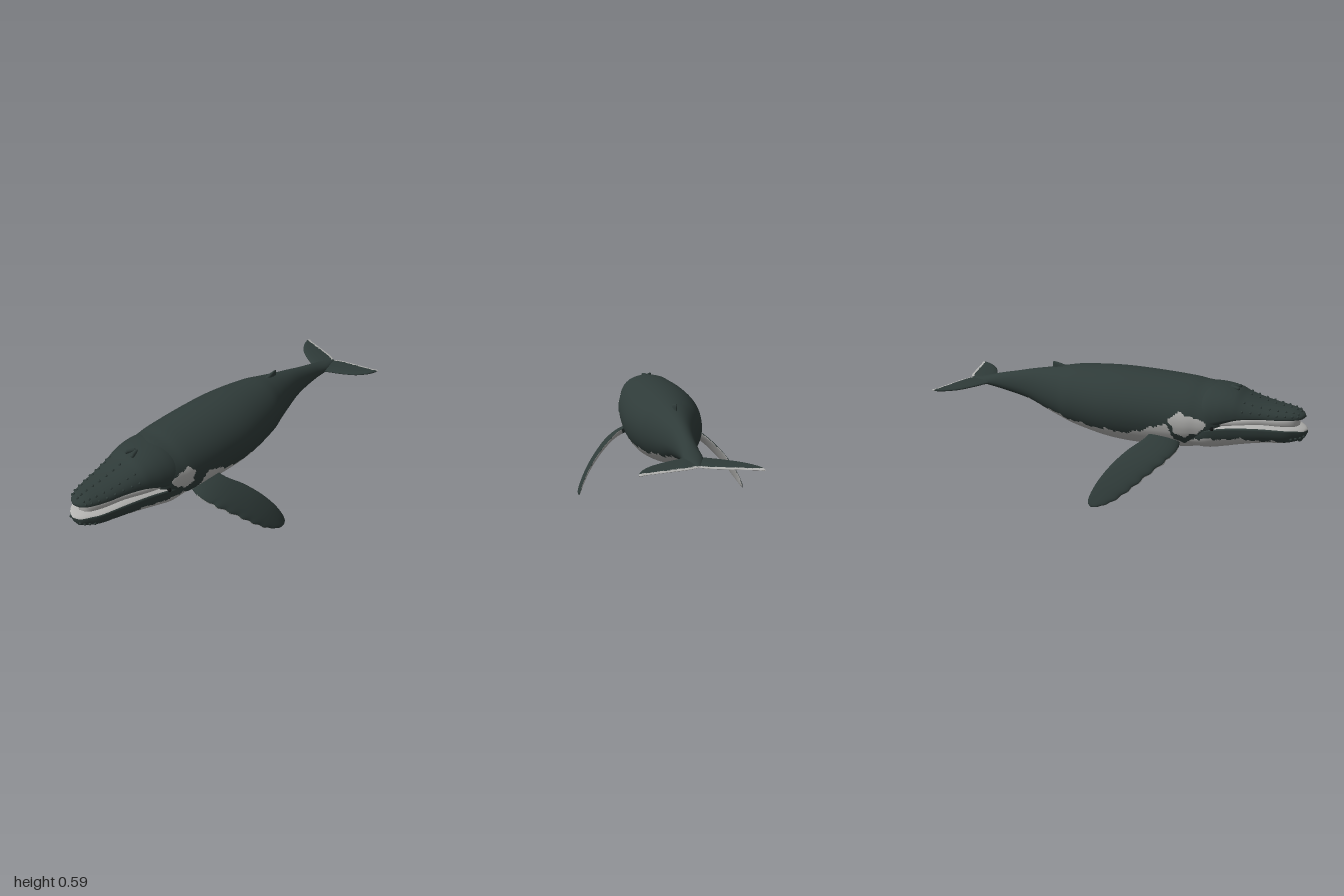
import * as THREE from 'three';

const mat = (name, color, side = THREE.FrontSide) => {
  const m = new THREE.MeshStandardMaterial({ color, side });
  m.name = name;
  return m;
};
const dark = mat('dark skin', 0x2f3b39);
const light = mat('pale skin', 0xb2b2b0);
const black = mat('eye black', 0x101414);

// Catmull-Rom sampling of a table of rows, u in 0..1
function sample(rows, u) {
  const f = Math.min(u, 1) * (rows.length - 1);
  const i = Math.min(Math.floor(f), rows.length - 2), t = f - i;
  const at = k => rows[Math.max(0, Math.min(rows.length - 1, k))];
  return rows[0].map((_, c) => {
    const [a, b, d, e] = [at(i - 1)[c], at(i)[c], at(i + 1)[c], at(i + 2)[c]];
    return 0.5 * (2 * b + (d - a) * t + (2 * a - 5 * b + 4 * d - e) * t * t + (3 * b - a - 3 * d + e) * t ** 3);
  });
}

// Straight interpolation of [z, y] pairs with falling z
function lerpTable(table, z) {
  if (z >= table[0][0]) return table[0][1];
  for (let i = 1; i < table.length; i++) {
    const [z0, y0] = table[i - 1], [z1, y1] = table[i];
    if (z >= z1) return y0 + (y1 - y0) * (z0 - z) / (z0 - z1);
  }
  return table[table.length - 1][1];
}

// Surface of closed rings; isLight(centre, u, angle) picks the colour of each quad
function loft(name, point, nu, nv, isLight, flip = false) {
  const pos = [], pts = [], lists = [[], []];
  for (let i = 0; i <= nu; i++) for (let j = 0; j < nv; j++) {
    const p = point(i / nu, j / nv * Math.PI * 2);
    if (flip) p.x = -p.x;
    pts.push(p);
    pos.push(p.x, p.y, p.z);
  }
  for (let i = 0; i < nu; i++) for (let j = 0; j < nv; j++) {
    const a = i * nv + j, b = a + nv, c = i * nv + (j + 1) % nv, d = c + nv;
    for (const t of [[a, b, c], [b, d, c]]) {
      const mid = new THREE.Vector3();
      t.forEach(k => mid.addScaledVector(pts[k], 1 / 3));
      const list = lists[isLight(mid, (i + 0.5) / nu, (j + 0.5) / nv * Math.PI * 2) ? 1 : 0];
      list.push(...(flip ? [t[0], t[2], t[1]] : t));
    }
  }
  const g = new THREE.BufferGeometry();
  g.setAttribute('position', new THREE.Float32BufferAttribute(pos, 3));
  g.setIndex([...lists[0], ...lists[1]]);
  g.addGroup(0, lists[0].length, 0);
  g.addGroup(lists[0].length, lists[1].length, 1);
  g.computeVertexNormals();
  const mesh = new THREE.Mesh(g, [dark, light]);
  mesh.name = name;
  return mesh;
}

// Body cross-section from rows of [z, top, widest height, bottom, half width]
const section = (rows, e = 1) => (u, a) => {
  const [z, top, mid, bot, w] = sample(rows, u), c = Math.cos(a), s = Math.sin(a);
  const y = Math.abs(s) ** e * (s > 0 ? top - mid : bot - mid);
  return new THREE.Vector3(Math.max(0, w) * Math.sign(c) * Math.abs(c) ** e, mid + y, z);
};

// Fin cross-section from rows of [leading xyz, trailing xyz, half thickness]
const finSection = (rows, bumps = 0) => (u, a) => {
  const edge = v => {
    const r = sample(rows, v);
    return [new THREE.Vector3(r[0], r[1], r[2]), new THREE.Vector3(r[3], r[4], r[5]), r[6]];
  };
  const [L, T, th] = edge(u);
  const mid = v => { const [l, t] = edge(v); return l.add(t).multiplyScalar(0.5); };
  const span = mid(Math.min(1, u + 0.02)).sub(mid(Math.max(0, u - 0.02)));
  const chord = L.clone().sub(T).multiplyScalar(0.5);
  const n = chord.clone().cross(span).normalize();
  const c = Math.cos(a);
  const lump = 1 + bumps * Math.max(0, c) ** 4 * Math.sin(u * 66) * (u > 0.25 && u < 0.97 ? 1 : 0);
  return L.add(T).multiplyScalar(0.5).addScaledVector(chord, c * lump)
    .addScaledVector(n, th * Math.sin(a) * (0.72 + 0.28 * c) * (1 + (lump - 1) * 2));
};

const bodyRows = [
  [0.66, 0.44, 0.42, 0.40, 0], [0.62, 0.52, 0.42, 0.32, 0.12], [0.56, 0.572, 0.42, 0.262, 0.172],
  [0.48, 0.58, 0.42, 0.243, 0.189], [0.4, 0.588, 0.415, 0.226, 0.199], [0.2, 0.593, 0.41, 0.207, 0.206],
  [0, 0.59, 0.405, 0.207, 0.2], [-0.2, 0.572, 0.405, 0.237, 0.165], [-0.3, 0.553, 0.405, 0.262, 0.13],
  [-0.4, 0.53, 0.405, 0.293, 0.097], [-0.5, 0.508, 0.408, 0.33, 0.07], [-0.6, 0.482, 0.41, 0.35, 0.053],
  [-0.7, 0.457, 0.408, 0.366, 0.045], [-0.8, 0.428, 0.403, 0.382, 0.042], [-0.9, 0.405, 0.4, 0.395, 0.008]];
const upperRows = [
  [0.985, 0.475, 0.472, 0.468, 0], [0.97, 0.488, 0.47, 0.46, 0.038], [0.93, 0.503, 0.468, 0.455, 0.066],
  [0.86, 0.512, 0.465, 0.452, 0.09], [0.78, 0.525, 0.465, 0.447, 0.108], [0.7, 0.547, 0.46, 0.438, 0.13],
  [0.65, 0.567, 0.455, 0.42, 0.147], [0.58, 0.577, 0.44, 0.385, 0.168], [0.5, 0.573, 0.42, 0.34, 0.178],
  [0.42, 0.54, 0.42, 0.34, 0.15]];
const lowerRows = [
  [1, 0.405, 0.4, 0.39, 0], [0.985, 0.415, 0.4, 0.36, 0.04], [0.95, 0.425, 0.405, 0.343, 0.07],
  [0.9, 0.43, 0.41, 0.33, 0.1], [0.8, 0.438, 0.41, 0.318, 0.128], [0.7, 0.435, 0.405, 0.296, 0.15],
  [0.62, 0.42, 0.4, 0.274, 0.167], [0.54, 0.4, 0.385, 0.256, 0.179], [0.46, 0.37, 0.35, 0.255, 0.165]];
const baleenRows = [
  [0.96, 0.46, 0.445, 0.42, 0], [0.94, 0.47, 0.445, 0.415, 0.045], [0.88, 0.47, 0.445, 0.415, 0.077],
  [0.78, 0.47, 0.445, 0.415, 0.103], [0.68, 0.46, 0.435, 0.4, 0.13], [0.58, 0.45, 0.42, 0.4, 0.15]];
const flipperRows = [
  [0.12, 0.3, 0.4, 0.12, 0.35, 0.27, 0.026], [0.2, 0.268, 0.408, 0.215, 0.312, 0.24, 0.025],
  [0.27, 0.23, 0.372, 0.28, 0.268, 0.18, 0.023], [0.335, 0.172, 0.305, 0.345, 0.208, 0.122, 0.02],
  [0.39, 0.11, 0.238, 0.398, 0.138, 0.074, 0.017], [0.432, 0.05, 0.165, 0.432, 0.075, 0.045, 0.014],
  [0.455, 0.016, 0.095, 0.448, 0.028, 0.034, 0.01], [0.455, 0.006, 0.05, 0.455, 0.006, 0.05, 0]];
const flukeRows = [
  [0, 0.402, -0.7, 0, 0.4, -0.905, 0.014], [0.045, 0.402, -0.76, 0.045, 0.4, -0.93, 0.014],
  [0.12, 0.401, -0.805, 0.12, 0.4, -0.952, 0.013], [0.19, 0.4, -0.855, 0.19, 0.4, -0.972, 0.011],
  [0.235, 0.4, -0.912, 0.23, 0.4, -0.982, 0.009], [0.256, 0.4, -0.96, 0.25, 0.4, -0.993, 0.007],
  [0.262, 0.4, -0.99, 0.262, 0.4, -0.99, 0]];
const dorsalRows = [
  [0, 0.515, -0.2, 0, 0.51, -0.4, 0.024], [0, 0.55, -0.28, 0, 0.535, -0.375, 0.016],
  [0, 0.565, -0.335, 0, 0.558, -0.375, 0.008], [0, 0.57, -0.37, 0, 0.57, -0.37, 0]];

// Upper limits of the pale belly and throat
const bellyLine = [
  [0.6, 0.35], [0.48, 0.33], [0.42, 0.3], [0.38, 0.31], [0.355, 0.395], [0.27, 0.385], [0.21, 0.335],
  [0.12, 0.31], [-0.2, 0.3], [-0.35, 0.318], [-0.5, 0.342], [-0.6, 0.358], [-0.64, 0.3]];
const throatLine = [[0.96, 0.3], [0.9, 0.345], [0.85, 0.352], [0.73, 0.358], [0.57, 0.35], [0.45, 0.32]];
const ragged = z => 0.005 * Math.sin(z * 83) + 0.005 * Math.sin(z * 37 + 1) + 0.003 * Math.sin(z * 171);

function bodyIsLight(p) {
  if (p.y < lerpTable(bellyLine, p.z) + ragged(p.z)) return true;
  // pale patch behind each mouth corner
  const [cz, cy, rz, ry] = p.x > 0 ? [0.48, 0.425, 0.062, 0.05] : [0.44, 0.405, 0.085, 0.058];
  const ang = Math.atan2(p.y - cy, p.z - cz);
  return Math.hypot((p.z - cz) / rz, (p.y - cy) / ry) < 1 + 0.14 * Math.sin(ang * 3 + 1) + 0.08 * Math.sin(ang * 7);
}

export function createModel() {
  const whale = new THREE.Group();
  whale.name = 'whale';

  // Body with shallow throat grooves along the belly
  const bodyAt = section(bodyRows);
  const grooved = (u, a) => {
    const p = bodyAt(u, a), s = Math.sin(a);
    const fade = Math.max(0, Math.min(1, (p.z - 0.02) * 4)) * Math.max(0, -s);
    p.x *= 1 - 0.008 * fade * Math.cos(a * 28);
    p.y -= 0.0015 * fade * Math.cos(a * 28);
    return p;
  };
  whale.add(loft('body', grooved, 210, 112, bodyIsLight));

  // Head: jaws and baleen
  const upperAt = section(upperRows, 0.9), lowerAt = section(lowerRows, 0.85);
  whale.add(loft('upperJaw', upperAt, 70, 64, () => false));
  whale.add(loft('lowerJaw', lowerAt, 90, 80, (p, u, a) =>
    Math.sin(a) > 0.3 || p.y < lerpTable(throatLine, p.z) + ragged(p.z)));
  whale.add(loft('baleen', section(baleenRows, 0.6), 30, 32, () => true));

  // Knobs on the snout, lips and chin
  const knobGeo = new THREE.SphereGeometry(1, 10, 8);
  const knob = (name, p, r, m = dark) => {
    const k = new THREE.Mesh(knobGeo, m);
    k.name = name;
    k.position.copy(p);
    k.scale.setScalar(r);
    whale.add(k);
  };
  for (let i = 0; i < 8; i++) {
    const u = 0.15 + i * 0.055;
    knob('snoutKnob', upperAt(u, Math.PI / 2), 0.007);
    for (const a of [0.35, 0.85]) {
      knob('snoutKnob', upperAt(u + 0.02, a), 0.006);
      knob('snoutKnob', upperAt(u + 0.02, Math.PI - a), 0.006);
    }
  }
  for (let i = 0; i < 4; i++) for (const a of [-0.5, Math.PI + 0.5])
    knob('chinKnob', lowerAt(0.12 + i * 0.06, a), 0.007);
  knob('chinKnob', new THREE.Vector3(0, 0.35, 0.965), 0.014);

  // Blowhole ridges and eyes
  for (const s of [-1, 1]) {
    const ridge = new THREE.Mesh(new THREE.CapsuleGeometry(0.01, 0.035, 4, 10), dark);
    ridge.name = 'blowholeRidge';
    ridge.position.set(s * 0.014, 0.57, 0.635);
    ridge.rotation.set(Math.PI / 2, 0, -s * 0.4);
    whale.add(ridge);
    knob('eye', new THREE.Vector3(s * 0.172, 0.402, 0.57), 0.01, black);
  }

  // Flippers, flukes and dorsal fin
  for (const flip of [false, true]) {
    const side = flip ? 'right' : 'left';
    whale.add(loft(side + 'Flipper', finSection(flipperRows, 0.05), 110, 28, (p, u, a) =>
      u > 0.12 && Math.sin(a) < 0.25 * Math.max(0, Math.cos(a)) + 0.08 * Math.sin(u * 45) - 0.04, flip));
    whale.add(loft(side + 'Fluke', finSection(flukeRows), 70, 48, (p, u) => {
      const r = sample(flukeRows, u);
      return p.z < r[5] + 0.017 + 0.3 * ragged(p.x * 2) || u > 0.95;
    }, flip));
  }
  whale.add(loft('dorsalFin', finSection(dorsalRows), 24, 24, () => false));
  return whale;
}
